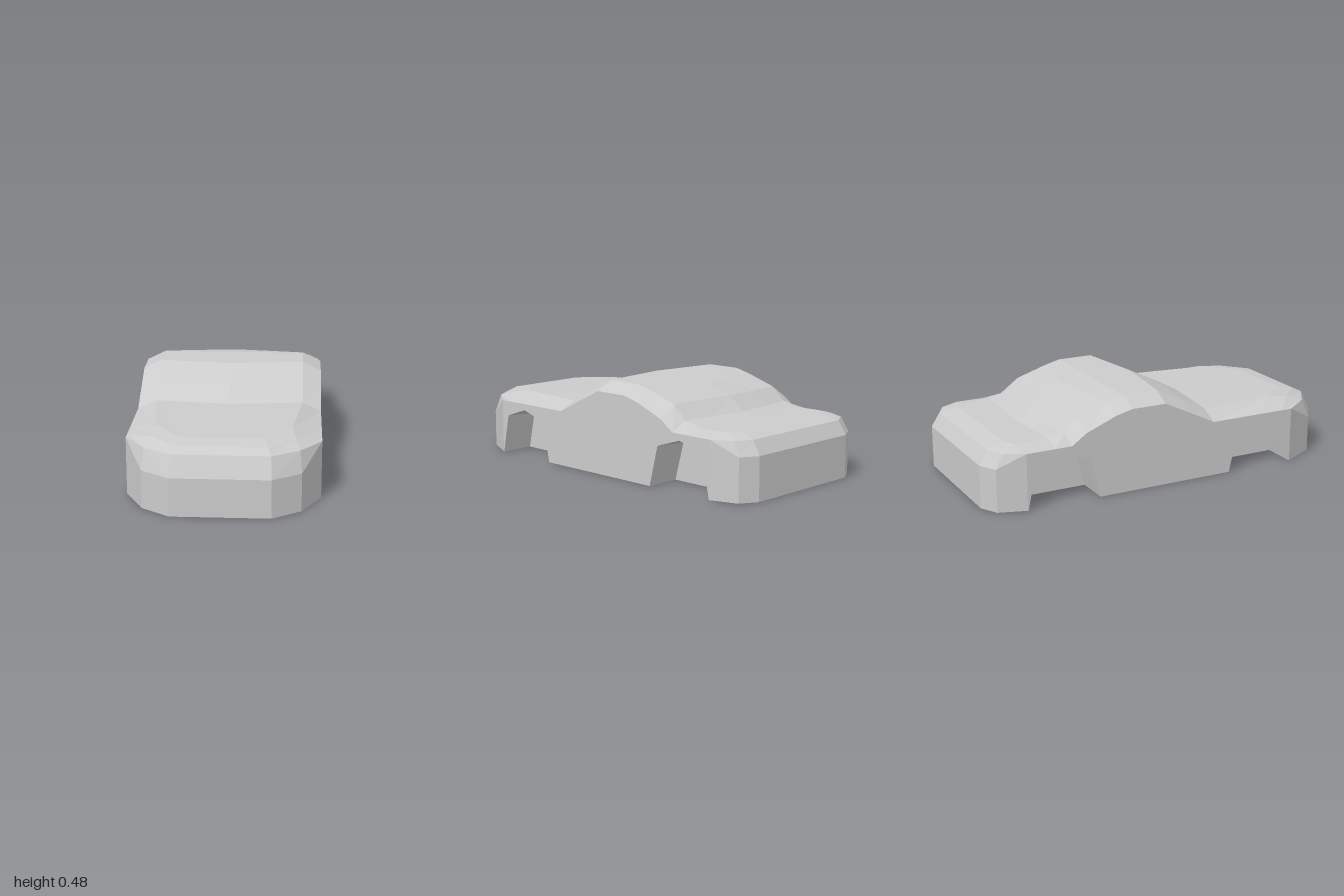
import * as THREE from 'three';

const W = 0.475;      // half width of the body
const WELL_X = 0.29;  // inner wall of the wheel wells

// Half cross rows from nose to tail: [x, y, z] for centre, inner, shoulder and belt.
const rows = [
  // nose
  [[0, 0, 1], [0.24, 0, 1], [0.38, 0, 0.9], [W, 0, 0.715]],
  [[0, 0.19, 1], [0.24, 0.19, 1], [0.38, 0.19, 0.9], [W, 0.29, 0.715]],
  [[0, 0.29, 0.95], [0.235, 0.29, 0.95], [0.37, 0.29, 0.86], [W, 0.29, 0.715]],
  // hood
  [[0, 0.315, 0.9], [0.22, 0.315, 0.9], [0.35, 0.318, 0.77], [W, 0.29, 0.66]],
  [[0, 0.33, 0.81], [0.2, 0.33, 0.81], [0.33, 0.333, 0.65], [W, 0.29, 0.53]],
  // windscreen
  chevron(0.335, 0.28, 0.235, 0.29),
  chevron(0.41, 0.14, 0.09, 0.362),
  // roof and rear window
  chevron(0.477, 0, -0.05, 0.43),
  chevron(0.477, -0.24, -0.24, 0.43),
  chevron(0.455, -0.38, -0.33, 0.408),
  chevron(0.405, -0.52, -0.49, 0.345),
  chevron(0.335, -0.61, -0.57, 0.29),
  // boot
  chevron(0.315, -0.68, -0.655, 0.29),
  [[0, 0.315, -0.86], [0.32, 0.315, -0.86], [0.38, 0.315, -0.83], [W, 0.29, -0.78]],
  // tail
  [[0, 0.29, -0.955], [0.335, 0.29, -0.955], [0.42, 0.29, -0.91], [W, 0.29, -0.81]],
  [[0, 0.22, -1], [0.34, 0.22, -1], [0.43, 0.22, -0.95], [W, 0.29, -0.81]],
  [[0, 0, -1], [0.34, 0, -1], [0.43, 0, -0.95], [W, 0, -0.81]],
];

// Wheel arch outlines as [z, y], front to back.
const arches = {
  front: [[0.712, 0], [0.668, 0.21], [0.53, 0.257], [0.383, 0.21], [0.333, 0]],
  rear: [[-0.417, 0], [-0.47, 0.21], [-0.615, 0.257], [-0.762, 0.21], [-0.806, 0]],
};

// Row whose centre is swept forward or back of its edges.
function chevron(y, zMid, zEdge, beltY) {
  return [[0, y, zMid], [0.2, y, (zMid + zEdge) / 2], [0.38, y, zEdge], [W, beltY, zEdge]];
}

// Flat-faced strip surface between successive rows of points.
function loft(grid) {
  const pos = [];
  for (let r = 0; r + 1 < grid.length; r++) {
    for (let c = 0; c + 1 < grid[r].length; c++) {
      const a = grid[r][c], b = grid[r][c + 1], d = grid[r + 1][c + 1], e = grid[r + 1][c];
      pos.push(...a, ...b, ...d, ...a, ...d, ...e);
    }
  }
  const g = new THREE.BufferGeometry();
  g.setAttribute('position', new THREE.Float32BufferAttribute(pos, 3));
  g.computeVertexNormals();
  return g;
}

function flat(points) {
  const shape = new THREE.Shape(points.map(([u, v]) => new THREE.Vector2(u, v)));
  return new THREE.ShapeGeometry(shape).toNonIndexed();
}

// Upright panel from [z, y] points, facing +x.
function sidePlate(points, x) {
  return flat(points.map(([z, y]) => [-z, y])).rotateY(Math.PI / 2).translate(x, 0, 0);
}

// Mirrored copy in x with the corner order restored.
function mirrored(geometry) {
  const g = geometry.clone().scale(-1, 1, 1);
  const p = g.attributes.position;
  const a = new THREE.Vector3(), b = new THREE.Vector3();
  for (let i = 0; i < p.count; i += 3) {
    a.fromBufferAttribute(p, i + 1);
    b.fromBufferAttribute(p, i + 2);
    p.setXYZ(i + 1, b.x, b.y, b.z);
    p.setXYZ(i + 2, a.x, a.y, a.z);
  }
  g.computeVertexNormals();
  return g;
}

export function createModel() {
  const model = new THREE.Group();
  model.name = 'carBody';
  const material = new THREE.MeshStandardMaterial({ color: 0xcccccc, flatShading: true });

  const addPair = (name, geometry) => {
    [['left', geometry], ['right', mirrored(geometry)]].forEach(([side, g]) => {
      const mesh = new THREE.Mesh(g, material);
      mesh.name = side + name;
      model.add(mesh);
    });
  };

  // Nose, hood, cabin, boot and tail
  addPair('Shell', loft(rows));

  // Side panel with both arches cut out of its lower edge
  const belt = rows.slice(2, 15).map((row) => [row[3][2], row[3][1]]);
  addPair('SidePanel', sidePlate([
    [0.715, 0], ...belt, [-0.81, 0],
    ...[...arches.rear].reverse(), ...[...arches.front].reverse(),
  ], W));

  // Wheel wells: arched lining and inner wall
  for (const [name, arch] of Object.entries(arches)) {
    const inner = arch.map(([z, y]) => [z, y * 0.94]);
    const lining = arch.map(([z, y], i) => [[W, y, z], [WELL_X, inner[i][1], z]]);
    const label = name === 'front' ? 'FrontWheelWell' : 'RearWheelWell';
    addPair(label + 'Lining', loft(lining));
    addPair(label + 'Wall', sidePlate(inner, WELL_X));
  }

  // Underside with notches at the wells
  const notch = (arch) => {
    const z0 = arch[0][0], z1 = arch[4][0];
    return [[W, z0], [WELL_X, z0], [WELL_X, z1], [W, z1]];
  };
  const floor = [
    ...rows[0].map((p) => [p[0], p[2]]),
    ...notch(arches.front), ...notch(arches.rear),
    ...rows[16].map((p) => [p[0], p[2]]).reverse(),
  ];
  addPair('Underside', flat(floor).rotateX(Math.PI / 2));

  return model;
}
